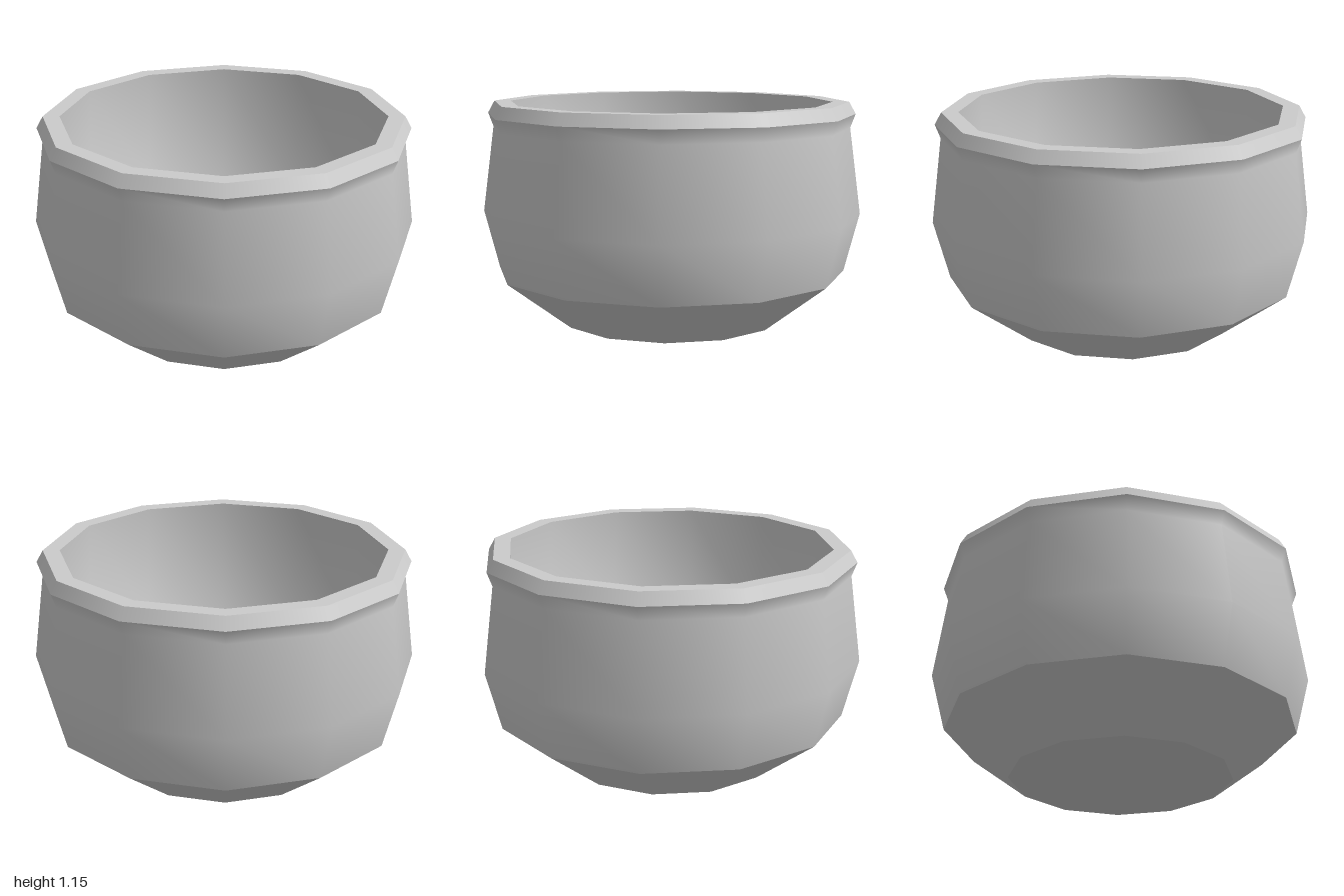
import * as THREE from 'three';

const SIDES = 12;

// Each band is a (radius, height) profile: smooth within, sharp where bands meet
const BANDS = {
  base: [[0, 0], [0.578, 0]],
  foot: [[0.578, 0], [0.92, 0.26]],
  outerWall: [[0.92, 0.26], [1, 0.567], [0.94, 1.02], [0.967, 1.092]],
  lipBevel: [[0.967, 1.092], [0.932, 1.155]],
  lipTop: [[0.932, 1.155], [0.845, 1.155]],
  innerWall: [[0.845, 1.155], [0.86, 0.47], [0.57, 0.2]],
  floor: [[0.57, 0.2], [0, 0.2]],
};

export function createModel() {
  const group = new THREE.Group();
  group.name = 'pot';
  const material = new THREE.MeshStandardMaterial({ color: 0xcccccc });

  for (const [name, profile] of Object.entries(BANDS)) {
    const points = profile.map(([r, y]) => new THREE.Vector2(r, y));
    const geometry = new THREE.LatheGeometry(points, SIDES);
    geometry.normalizeNormals();
    const band = new THREE.Mesh(geometry, material);
    band.name = name;
    group.add(band);
  }
  return group;
}
